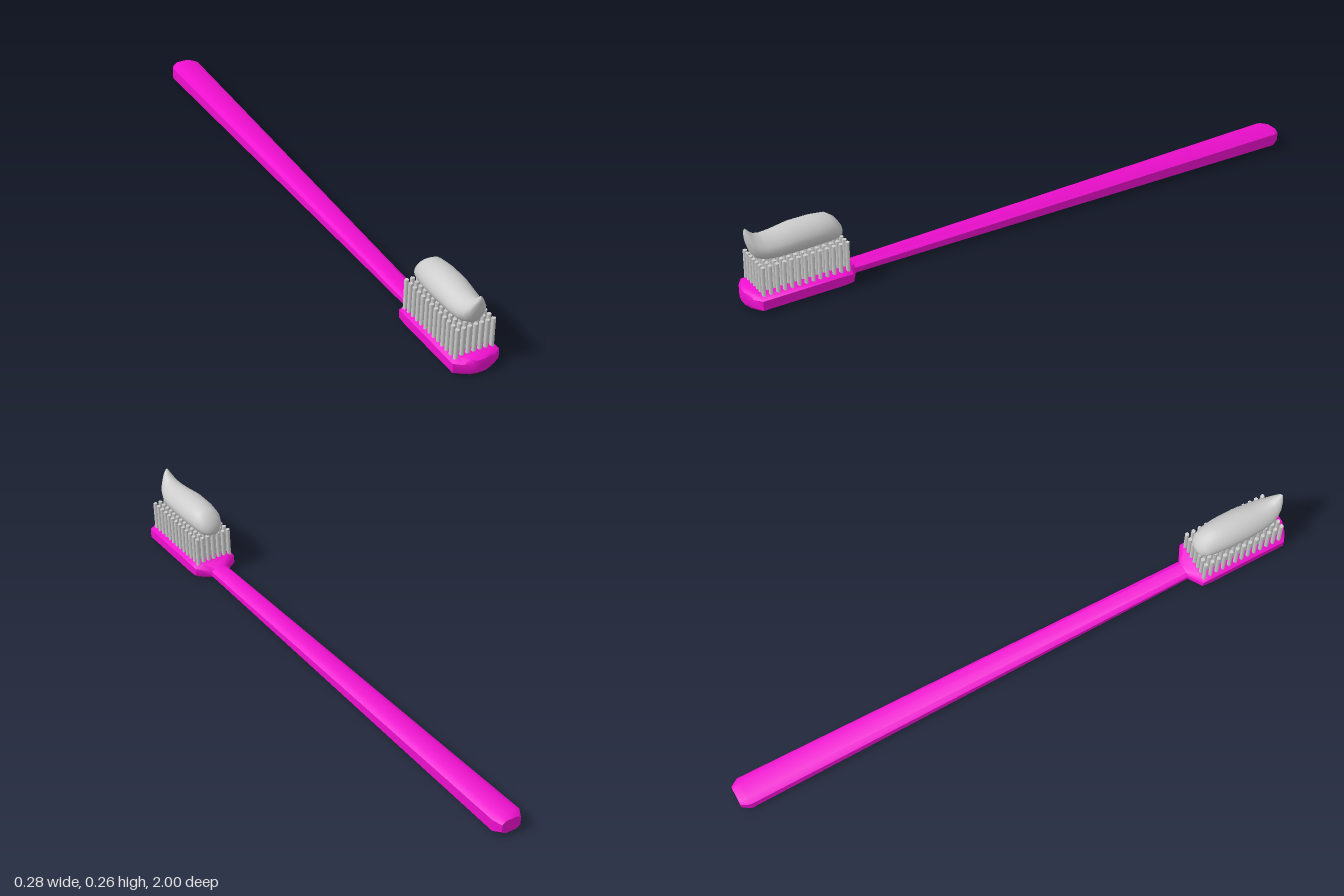
import * as THREE from 'three';
import { toCreasedNormals } from 'three/addons/utils/BufferGeometryUtils.js';

// Skin a list of closed rings (counter-clockwise seen from +z, ordered towards +z) and cap both ends
function loft(rings) {
  const n = rings[0].length, pos = [], idx = [];
  rings.forEach(r => r.forEach(p => pos.push(...p)));
  for (let j = 0; j < rings.length - 1; j++) {
    for (let i = 0; i < n; i++) {
      const a = j * n + i, b = j * n + (i + 1) % n;
      idx.push(a, b, b + n, a, b + n, a + n);
    }
  }
  const cap = (j, flip) => {
    const c = pos.length / 3;
    pos.push(...[0, 1, 2].map(k => rings[j].reduce((s, p) => s + p[k], 0) / n));
    for (let i = 0; i < n; i++) {
      const a = j * n + i, b = j * n + (i + 1) % n;
      idx.push(c, flip ? b : a, flip ? a : b);
    }
  };
  cap(0, true);
  cap(rings.length - 1, false);
  const g = new THREE.BufferGeometry();
  g.setAttribute('position', new THREE.Float32BufferAttribute(pos, 3));
  g.setIndex(idx);
  g.computeVertexNormals();
  return g;
}

// Chamfered rectangle: half width w, bottom y0, top y1, chamfer c wide and e high
function chamferRing([z, w, y0, y1, c, e]) {
  return [
    [w, y0 + e], [w, y1 - e], [w - c, y1], [c - w, y1],
    [-w, y1 - e], [-w, y0 + e], [c - w, y0], [w - c, y0],
  ].map(([x, y]) => [x, y, z]);
}

// Oval ring that narrows towards its top by the factor k
function ovalRing([z, w, y0, y1, k], sides = 24) {
  return Array.from({ length: sides }, (_, i) => {
    const t = i / sides * Math.PI * 2, s = Math.sin(t);
    return [w * Math.cos(t) * (1 - k * Math.max(0, s)), (y0 + y1) / 2 + s * (y1 - y0) / 2, z];
  });
}

export function createModel() {
  const model = new THREE.Group();
  model.name = 'toothbrush';
  const pink = new THREE.MeshStandardMaterial({ color: 0xf00fd0 });
  const grey = new THREE.MeshStandardMaterial({ color: 0xcccccc });

  // The brush lies at a slight angle to the z axis
  const brush = new THREE.Group();
  brush.name = 'brush';
  brush.rotation.y = Math.atan(0.08);
  brush.position.x = -0.018;
  model.add(brush);

  // Tapered handle, neck and head in one body: z, half width, bottom, top, chamfer
  const body = [
    [-1.003, 0.034, 0.012, 0.058, 0.014, 0.01],
    [-0.975, 0.049, 0.004, 0.066, 0.020, 0.011],
    [0.635, 0.031, 0.005, 0.040, 0.013, 0.009],
    [0.665, 0.077, 0.002, 0.055, 0.024, 0.013],
    [0.70, 0.079, 0.000, 0.058, 0.026, 0.013],
    [0.972, 0.079, 0.000, 0.058, 0.026, 0.013],
    [0.992, 0.052, 0.004, 0.056, 0.020, 0.012],
    [1.003, 0.026, 0.010, 0.053, 0.012, 0.010],
  ].map(chamferRing);
  const handle = new THREE.Mesh(toCreasedNormals(loft(body), 0.75), pink);
  handle.name = 'handleAndHead';
  brush.add(handle);

  // Bristle tufts in a regular grid
  const bristles = new THREE.Group();
  bristles.name = 'bristles';
  const tuft = new THREE.CylinderGeometry(0.0072, 0.0072, 0.105, 6);
  const cols = 7, rows = 13;
  for (let r = 0; r < rows; r++) {
    for (let c = 0; c < cols; c++) {
      const m = new THREE.Mesh(tuft, grey);
      m.name = 'bristle';
      m.position.set((c / (cols - 1) - 0.5) * 0.122, 0.1, 0.675 + r / (rows - 1) * 0.285);
      m.rotation.z = -0.03;
      bristles.add(m);
    }
  }
  brush.add(bristles);

  // Toothpaste: blunt at the back, curling up to a tip at the front
  const keys = [
    [0.667, 0.008, 0.160, 0.178, 0],
    [0.671, 0.026, 0.150, 0.192, 0],
    [0.685, 0.041, 0.145, 0.214, 0],
    [0.71, 0.050, 0.143, 0.233, 0.05],
    [0.76, 0.056, 0.143, 0.239, 0.08],
    [0.83, 0.057, 0.143, 0.239, 0.1],
    [0.89, 0.053, 0.143, 0.231, 0.15],
    [0.93, 0.047, 0.146, 0.230, 0.2],
    [0.955, 0.038, 0.156, 0.238, 0.3],
    [0.97, 0.028, 0.176, 0.251, 0.4],
    [0.98, 0.016, 0.208, 0.262, 0.4],
    [0.985, 0.005, 0.236, 0.258, 0.2],
  ];
  const paste = new THREE.Mesh(loft(keys.map(k => ovalRing(k))), grey);
  paste.name = 'toothpaste';
  brush.add(paste);

  return model;
}
